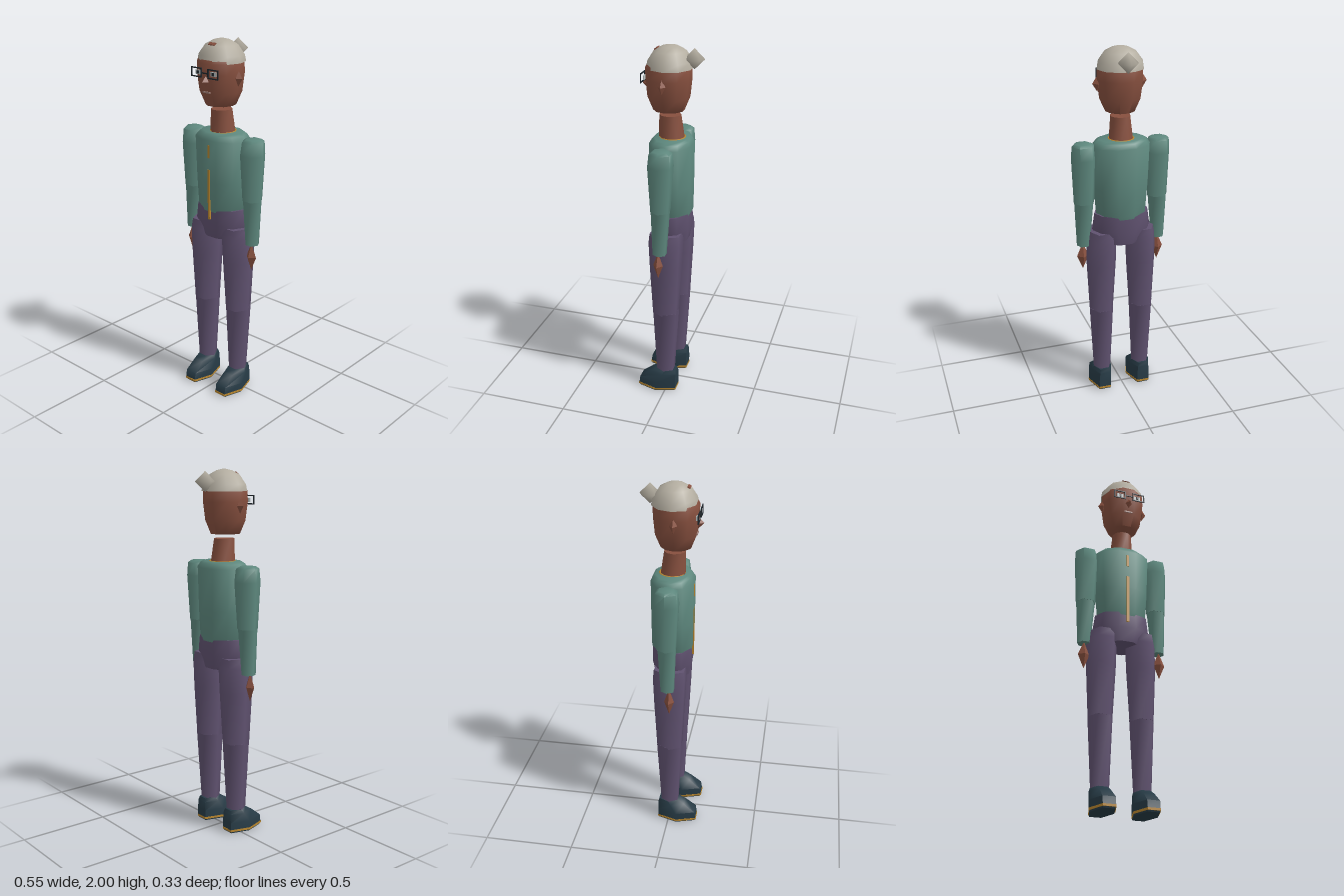
import * as THREE from 'three';
import { toCreasedNormals } from 'three/addons/utils/BufferGeometryUtils.js';

const mat = (name, color) => {
  const m = new THREE.MeshStandardMaterial({ color });
  m.name = name;
  return m;
};

// Closed stack of polygon rings [y, cx, cz, halfWidth, halfDepth], bottom to top, flat side facing front
function loft(rings, sides) {
  const pos = [], idx = [];
  const flat = Math.cos(Math.PI / sides);
  for (const [y, cx, cz, rx, rz] of rings) {
    for (let i = 0; i < sides; i++) {
      const a = ((i + 0.5) / sides) * Math.PI * 2;
      pos.push(cx + rx * Math.sin(a), y, cz + (rz / flat) * Math.cos(a));
    }
  }
  const first = rings[0], last = rings[rings.length - 1];
  const bottom = pos.length / 3, top = bottom + 1, end = (rings.length - 1) * sides;
  pos.push(first[1], first[0], first[2], last[1], last[0], last[2]);
  for (let i = 0; i < sides; i++) {
    const n = (i + 1) % sides;
    for (let j = 0; j < rings.length - 1; j++) {
      const a = j * sides + i, b = j * sides + n;
      idx.push(a, b, b + sides, a, b + sides, a + sides);
    }
    idx.push(bottom, n, i, top, end + i, end + n);
  }
  const g = new THREE.BufferGeometry();
  g.setAttribute('position', new THREE.Float32BufferAttribute(pos, 3));
  g.setIndex(idx);
  return toCreasedNormals(g, 1.2);
}

export function createModel() {
  const root = new THREE.Group();
  root.name = 'figure';
  const skin = mat('skin', 0x87503f);
  const hair = mat('hair', 0xb3ada0);
  const sweater = mat('sweater', 0x5d877d);
  const trousers = mat('trousers', 0x605270);
  const shoe = mat('shoe', 0x273b46);
  const gold = mat('gold', 0xb8862f);
  const frame = mat('frame', 0x1f262c);
  const eye = mat('eye', 0xb9c2c2);
  const lips = mat('lips', 0xa08078);

  const add = (name, geo, material, x = 0, y = 0, z = 0) => {
    const m = new THREE.Mesh(geo, material);
    m.name = name;
    m.position.set(x, y, z);
    root.add(m);
    return m;
  };
  const box = (name, material, w, h, d, x, y, z) =>
    add(name, new THREE.BoxGeometry(w, h, d), material, x, y, z);
  const gem = (name, material, w, h, d, x, y, z) =>
    add(name, new THREE.OctahedronGeometry(1).scale(w, h, d), material, x, y, z);

  // Head and hair
  add('head', loft([
    [1.66, 0, 0.02, 0.08, 0.079],
    [1.73, 0, 0.02, 0.112, 0.106],
    [1.83, 0, 0.02, 0.127, 0.115],
    [1.885, 0, 0.02, 0.124, 0.115],
    [1.915, 0, 0.02, 0.115, 0.1],
    [1.95, 0, 0.02, 0.07, 0.06],
  ], 10), skin);
  add('hairCap', loft([
    [1.885, 0, 0.013, 0.128, 0.117],
    [1.92, 0, 0.013, 0.122, 0.11],
    [1.97, 0, 0.013, 0.085, 0.08],
    [1.992, 0, 0.013, 0.045, 0.042],
    [2.0, 0, 0.013, 0.01, 0.01],
  ], 10), hair);
  add('hairBun', new THREE.SphereGeometry(0.054, 8, 2), hair, 0, 1.935, -0.115);
  box('foreheadPatch', skin, 0.042, 0.008, 0.018, 0, 1.977, 0.084).rotation.x = 0.55;

  // Face
  gem('nose', skin, 0.019, 0.03, 0.03, 0, 1.793, 0.133);
  box('mouth', lips, 0.05, 0.008, 0.008, 0, 1.738, 0.128);
  box('glassesBridge', frame, 0.04, 0.006, 0.005, 0, 1.838, 0.143);

  // Neck and collar
  add('neck', loft([
    [1.49, 0, 0.003, 0.069, 0.066],
    [1.635, 0, 0.013, 0.055, 0.055],
  ], 10), skin);
  const collar = add('collar', new THREE.TorusGeometry(0.067, 0.006, 6, 20), gold, 0, 1.512, 0);
  collar.rotation.x = Math.PI / 2;

  // Torso and hips
  add('torso', loft([
    [1.065, 0, 0.004, 0.115, 0.1],
    [1.1, 0, 0.004, 0.142, 0.109],
    [1.25, 0, 0.004, 0.155, 0.111],
    [1.48, 0, 0.004, 0.166, 0.112],
    [1.505, 0, 0.002, 0.143, 0.1],
    [1.515, 0, 0.002, 0.125, 0.088],
  ], 10), sweater);
  add('hips', loft([
    [0.93, 0, 0.004, 0.115, 0.093],
    [1.01, 0, 0.004, 0.166, 0.106],
    [1.1, 0, 0.004, 0.153, 0.104],
  ], 10), trousers);
  box('zipLower', gold, 0.014, 0.28, 0.009, 0, 1.18, 0.114);
  box('zipUpper', gold, 0.014, 0.07, 0.009, 0, 1.42, 0.114);

  for (const s of [1, -1]) {
    const side = s > 0 ? 'left' : 'right';

    // Ear, eye and glasses rim
    gem(side + 'Ear', skin, 0.027, 0.042, 0.021, s * 0.122, 1.81, 0.022);
    box(side + 'Eye', eye, 0.038, 0.022, 0.006, s * 0.052, 1.837, 0.133);
    box(side + 'Pupil', frame, 0.013, 0.016, 0.004, s * 0.052, 1.837, 0.137);
    for (const dy of [-0.022, 0.022])
      box(side + 'RimBar', frame, 0.072, 0.006, 0.005, s * 0.057, 1.838 + dy, 0.143);
    for (const dx of [-0.033, 0.033])
      box(side + 'RimPost', frame, 0.006, 0.05, 0.005, s * (0.057 + dx), 1.838, 0.143);

    // Arm and hand
    add(side + 'UpperArm', loft([
      [1.17, s * 0.209, 0.004, 0.057, 0.047],
      [1.42, s * 0.207, 0.003, 0.069, 0.061],
      [1.49, s * 0.209, 0.002, 0.063, 0.054],
      [1.503, s * 0.211, 0.002, 0.045, 0.036],
    ], 6), sweater);
    add(side + 'Forearm', loft([
      [0.92, s * 0.216, 0.008, 0.037, 0.034],
      [1.2, s * 0.209, 0.004, 0.056, 0.046],
    ], 6), sweater);
    gem(side + 'Hand', skin, 0.033, 0.078, 0.027, s * 0.218, 0.85, 0.017);

    // Leg
    add(side + 'Thigh', loft([
      [0.51, s * 0.117, 0.004, 0.069, 0.066],
      [0.8, s * 0.115, 0.004, 0.085, 0.08],
      [0.95, s * 0.113, 0.004, 0.088, 0.086],
      [1.0, s * 0.11, 0.004, 0.08, 0.082],
    ], 6), trousers);
    add(side + 'Shin', loft([
      [0.11, s * 0.116, 0.006, 0.05, 0.046],
      [0.52, s * 0.117, 0.003, 0.07, 0.066],
    ], 6), trousers);

    // Shoe with a gold welt
    add(side + 'Shoe', loft([
      [0.02, s * 0.117, 0.05, 0.069, 0.11],
      [0.06, s * 0.117, 0.047, 0.07, 0.107],
      [0.11, s * 0.117, 0.016, 0.06, 0.076],
      [0.132, s * 0.117, 0.002, 0.05, 0.056],
    ], 6), shoe);
    add(side + 'Welt', loft([
      [0.008, s * 0.117, 0.051, 0.07, 0.112],
      [0.02, s * 0.117, 0.051, 0.07, 0.112],
    ], 6), gold);
    add(side + 'Sole', loft([
      [0, s * 0.117, 0.05, 0.064, 0.105],
      [0.008, s * 0.117, 0.05, 0.066, 0.108],
    ], 6), shoe);
  }
  return root;
}
